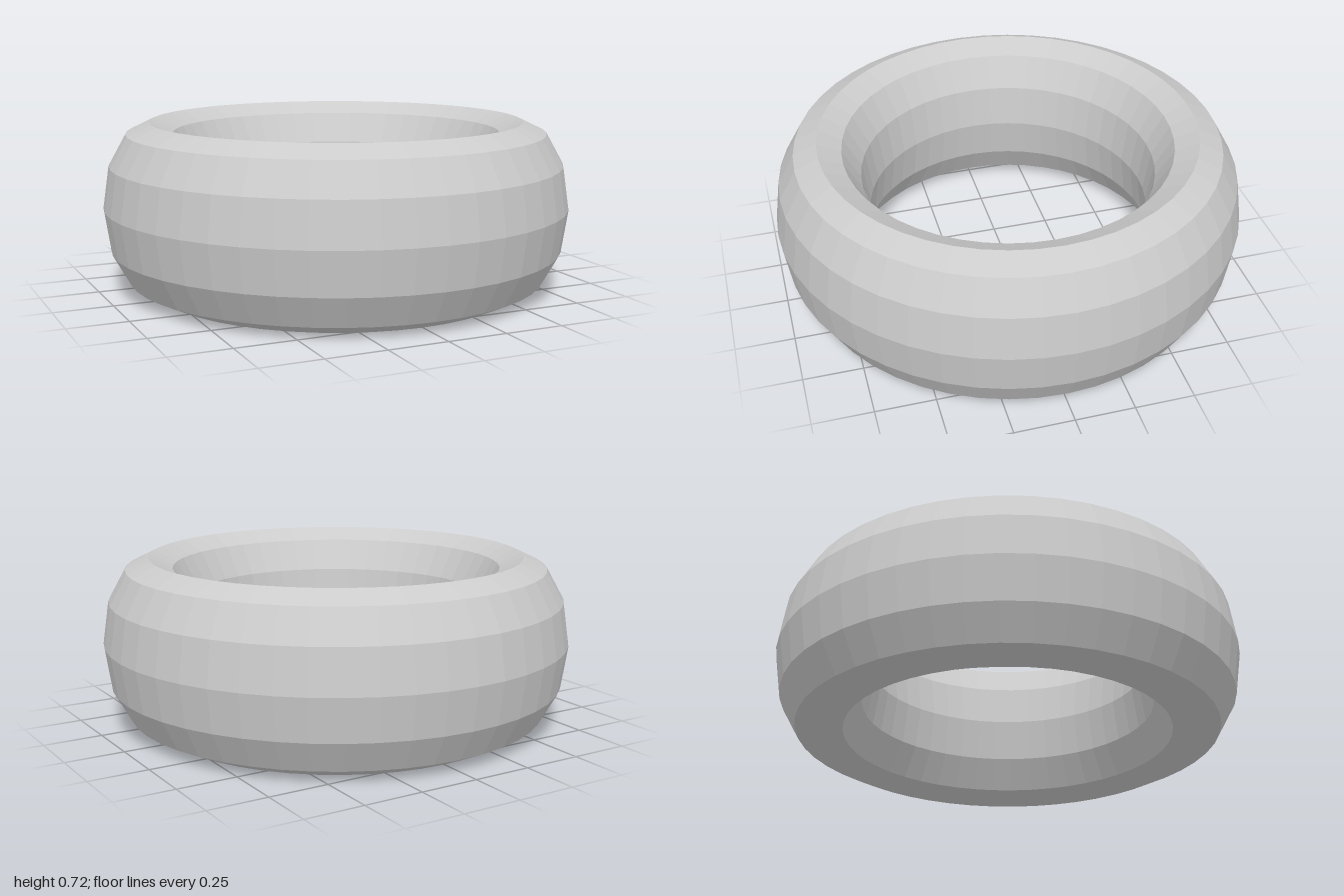
import * as THREE from 'three';

export function createModel() {
  const group = new THREE.Group();
  group.name = 'ringModel';

  // Faceted ring: 12-sided tube, stretched along its axis to an oval section
  const tubeWidth = 0.2;
  const halfHeight = 0.361;
  const geometry = new THREE.TorusGeometry(0.8, tubeWidth, 12, 48);
  geometry.rotateX(-Math.PI / 2);
  geometry.scale(1, halfHeight / tubeWidth, 1);
  geometry.translate(0, halfHeight, 0);

  const material = new THREE.MeshStandardMaterial({ color: 0xcccccc, flatShading: true });
  const ring = new THREE.Mesh(geometry, material);
  ring.name = 'ring';
  group.add(ring);
  return group;
}
